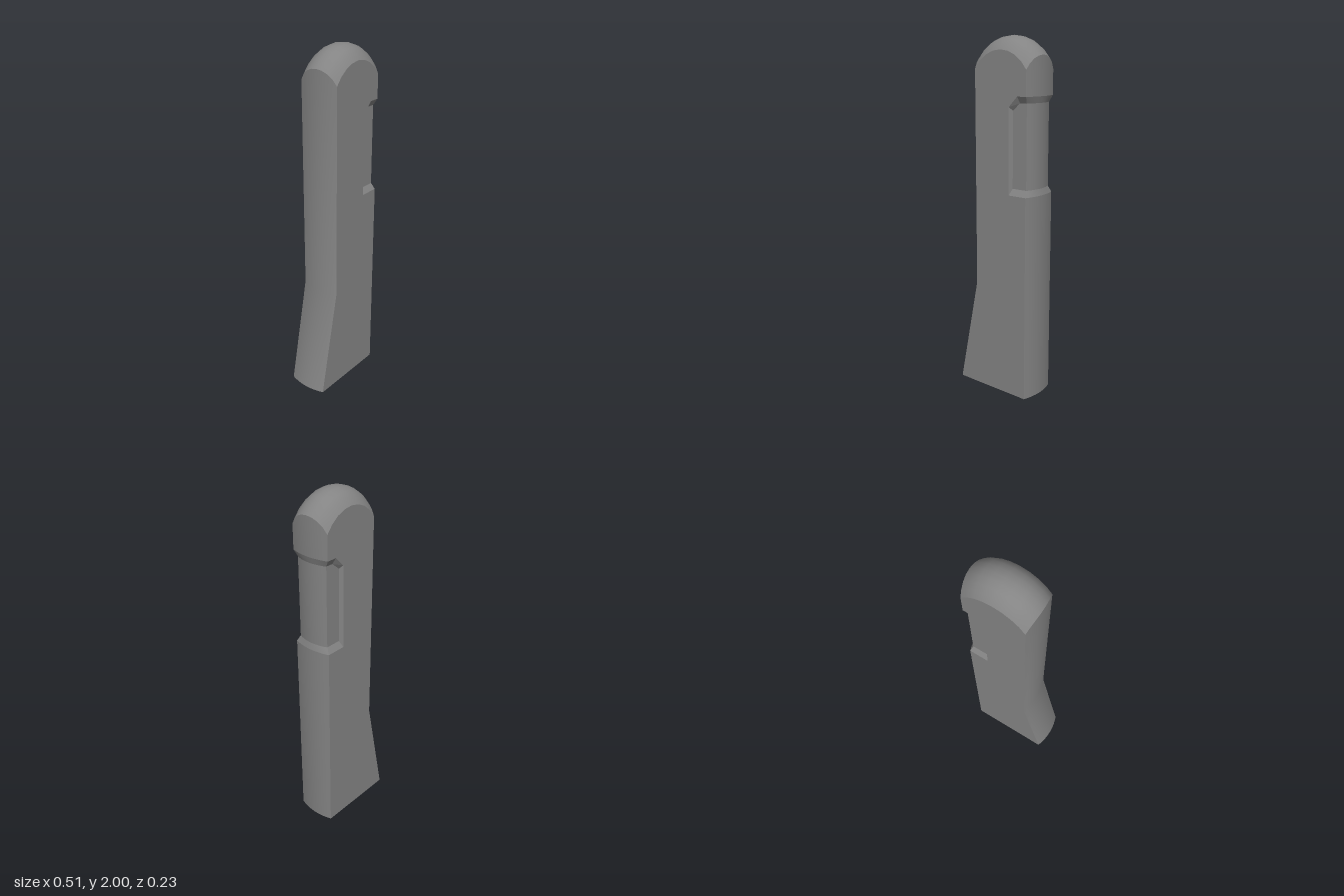
import * as THREE from 'three';
import { toCreasedNormals } from 'three/addons/utils/BufferGeometryUtils.js';

const material = new THREE.MeshStandardMaterial({ color: 0x848484, side: THREE.DoubleSide });
const HALF_Z = 0.117, BULGE = 0.021, CENTRE_X = 0.0635, HALF_X = 0.1935;
const LEFT = -0.13, RIGHT = 0.257, BASE = 0.257, INSET = 0.01, FLOOR_Z = 0.097;
const SEG = 8;

// Grid surface: point(i, j) for i <= na, j <= nb; it faces along da x db
function grid(na, nb, point, crease = 0.4) {
  const pos = [], index = [];
  for (let i = 0; i <= na; i++) for (let j = 0; j <= nb; j++) pos.push(...point(i, j));
  for (let i = 0; i < na; i++) for (let j = 0; j < nb; j++) {
    const a = i * (nb + 1) + j, b = a + nb + 1;
    index.push(a, b, b + 1, a, b + 1, a + 1);
  }
  const geo = new THREE.BufferGeometry();
  geo.setAttribute('position', new THREE.Float32BufferAttribute(pos, 3));
  geo.setIndex(index);
  return toCreasedNormals(geo, crease);
}

// Round sag below the crown of an arc
const sag = (r, d) => r - Math.sqrt(r * r - d * d);
const topY = (u, v) => 2 - sag(0.237, HALF_X * u) - sag(0.129, HALF_Z * v);
const topX = (u, v) => CENTRE_X + u * (HALF_X - BULGE * v * v);
// Even angular steps along an arc, from -1 to 1
const ARC = 0.3 * Math.PI;
const step = (i) => Math.sin((i / SEG * 2 - 1) * ARC) / Math.sin(ARC);

export function createModel() {
  const model = new THREE.Group();
  const add = (name, geo, mirror = false) => {
    const mesh = new THREE.Mesh(geo, material);
    mesh.name = name;
    if (mirror) mesh.scale.z = -1;
    model.add(mesh);
  };

  // Domed top
  add('domedTop', grid(SEG, SEG, (i, j) => {
    const v = step(i), u = step(j);
    return [topX(u, v), topY(u, v), v * HALF_Z];
  }, 0.8));

  // Bulged end with the recessed grip band: [y, inset, half depth]
  const rows = [[0, 0, HALF_Z], [1.165, 0, HALF_Z], [1.2, INSET, FLOOR_Z],
    [1.655, INSET, FLOOR_Z], [1.69, 0, HALF_Z], [null, 0, HALF_Z]];
  add('notchedEnd', grid(rows.length - 1, SEG, (i, j) => {
    const [y, inset, half] = rows[i], v = step(j);
    return [RIGHT - inset - BULGE * v * v, y ?? topY(1, v), v * half];
  }, 0.2));

  // Bulged end that flares out towards the foot
  const flare = [[0, -BASE], [0.625, LEFT], [null, LEFT]];
  add('flaredEnd', grid(SEG, flare.length - 1, (i, j) => {
    const [y, x] = flare[j], v = step(i);
    return [x + BULGE * v * v, y ?? topY(-1, v), v * HALF_Z];
  }, 0.5));

  // Notch outline on the broad faces, and its smaller floor
  const edge = RIGHT - BULGE, floorEdge = edge - INSET;
  const rim = [[edge, 1.165], [0.123, 1.165], [0.123, 1.634], [0.178, 1.69], [edge, 1.69]];
  const floor = [[floorEdge, 1.2], [0.135, 1.2], [0.135, 1.615], [0.182, 1.655], [floorEdge, 1.655]];

  // Broad face outline
  const outline = [[-BASE + BULGE, 0], [edge, 0], ...rim];
  for (let i = SEG; i >= 0; i--) outline.push([topX(step(i), 1), topY(step(i), 1)]);
  outline.push([LEFT + BULGE, 0.625]);

  const flat = (pts, z) => new THREE.ShapeGeometry(
    new THREE.Shape(pts.map(([x, y]) => new THREE.Vector2(x, y)))).translate(0, 0, z);

  // Front and back faces with their notches; the foot stays open
  for (const [side, mirror] of [['front', false], ['back', true]]) {
    add(side + 'Face', flat(outline, HALF_Z), mirror);
    add(side + 'NotchFloor', flat(floor, FLOOR_Z), mirror);
    add(side + 'NotchBevel', grid(1, rim.length - 1, (i, j) =>
      i ? [...floor[j], FLOOR_Z] : [...rim[j], HALF_Z], 0.1), mirror);
  }
  return model;
}
